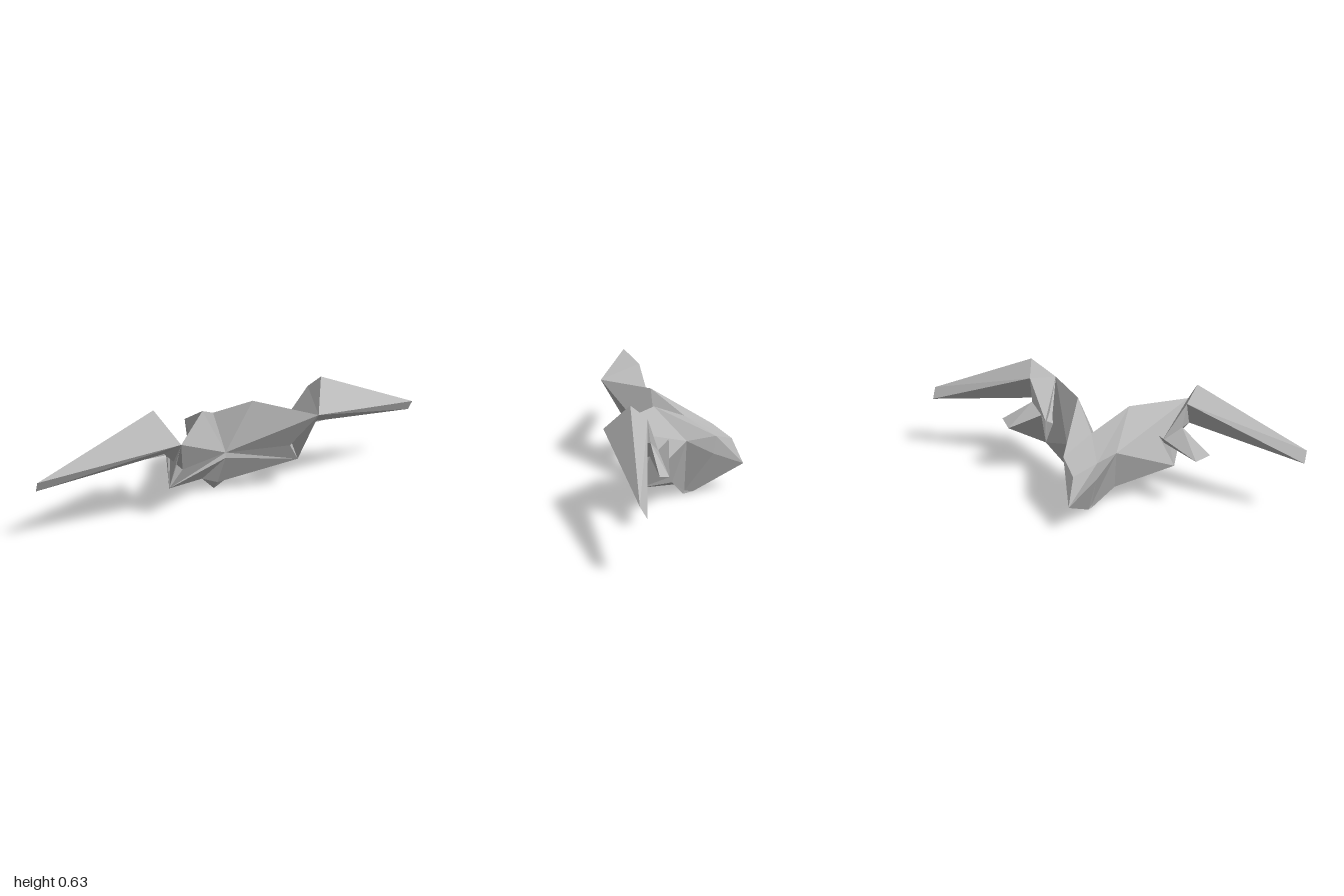
import * as THREE from 'three';

// Corner points of the left half; centre points have x = 0
const P = {
  notch: [0, 0.418, -0.054], noseTop: [0, 0.26, 0.083], noseLow: [0, 0.232, 0.085],
  keelFront: [0, 0.055, -0.006], keelTip: [0, 0.002, -0.047],
  bellyMid: [0, 0.02, -0.054], bellyBack: [0, 0.015, -0.097],
  tailTop: [0, 0.295, -0.288], tailTip: [0, 0.159, -0.348],
  hump: [0.135, 0.518, 0.104], flank: [0.13, 0.335, -0.054],
  rearTop: [0.087, 0.342, -0.2], rearSide: [0.08, 0.247, -0.19],
  cheek: [0.096, 0.107, 0.015], jaw: [0.35, 0.192, 0.183], neck: [0.29, 0.29, 0.207],
  shoulder: [0.36, 0.495, 0.348], wingTop: [0.44, 0.633, 0.226], wingBack: [0.415, 0.559, 0.148],
  wingUnder: [0.4, 0.413, 0.245], tipHigh: [1, 0.387, 0.211], tipLow: [1, 0.331, 0.181],
  finTop: [0.4, 0.437, 0.135], finBack: [0.31, 0.417, 0.045], finDip: [0.31, 0.363, 0.094],
  finRoot: [0.335, 0.344, 0.135], finTip: [0.555, 0.33, 0.102], finTipBack: [0.5, 0.305, 0.055],
};

// Triangles of each part, named by their corners
const PARTS = {
  upperBody: ['hump flank shoulder', 'hump shoulder noseTop', 'hump noseTop notch',
    'hump notch rearTop', 'hump rearTop flank', 'notch tailTop rearTop'],
  tail: ['flank rearTop rearSide', 'rearTop tailTop tailTip', 'rearTop tailTip rearSide',
    'rearSide tailTip bellyBack', 'rearSide bellyBack bellyMid', 'flank rearSide bellyMid'],
  lowerBody: ['shoulder neck noseTop', 'neck jaw noseTop', 'noseTop jaw noseLow',
    'shoulder flank jaw', 'flank cheek jaw', 'flank bellyMid cheek'],
  keel: ['cheek keelTip keelFront', 'cheek bellyMid keelTip', 'bellyMid bellyBack keelTip'],
  wing: ['wingTop shoulder tipHigh', 'shoulder tipLow tipHigh', 'wingTop tipHigh wingBack',
    'wingBack tipHigh tipLow', 'wingBack tipLow wingUnder', 'shoulder wingUnder tipLow', 'wingTop wingBack shoulder'],
  wingRoot: ['shoulder wingBack finDip', 'wingBack finTop finDip', 'wingBack wingUnder finTop',
    'shoulder neck wingUnder', 'wingUnder finRoot finTop', 'wingUnder neck finRoot', 'neck jaw finRoot',
    'finDip jaw shoulder', 'finDip finBack jaw'],
  smallFin: ['finTop finTip finTipBack', 'finTop finTipBack finDip', 'finDip finTipBack finBack',
    'finRoot finTipBack finTip', 'finTop finRoot finTip'],
};

// Panels whose diagonal runs differently on each side
const LEFT_PANELS = ['noseLow jaw keelFront', 'jaw cheek keelFront', 'jaw finTipBack finRoot', 'jaw finBack finTipBack'];
const RIGHT_PANELS = ['noseLow jaw cheek', 'noseLow cheek keelFront', 'jaw finBack finRoot', 'finBack finTipBack finRoot'];

// Build flat triangles, mirrored in x when side is -1
function panels(faces, side) {
  const coords = [];
  for (const face of faces) {
    const corners = face.split(' ');
    if (side < 0) corners.reverse();
    for (const name of corners) {
      const [x, y, z] = P[name];
      coords.push(x * side, y, z);
    }
  }
  const geometry = new THREE.BufferGeometry();
  geometry.setAttribute('position', new THREE.Float32BufferAttribute(coords, 3));
  geometry.computeVertexNormals();
  return geometry;
}

export function createModel() {
  const model = new THREE.Group();
  model.name = 'wingedCraft';
  const grey = new THREE.MeshStandardMaterial({ color: 0xbbbbbb, flatShading: true, side: THREE.DoubleSide });
  grey.name = 'hullGrey';

  for (const side of [1, -1]) {
    const half = new THREE.Group();
    half.name = side > 0 ? 'leftHalf' : 'rightHalf';
    const parts = { ...PARTS, sidePanels: side > 0 ? LEFT_PANELS : RIGHT_PANELS };
    for (const [name, faces] of Object.entries(parts)) {
      const mesh = new THREE.Mesh(panels(faces, side), grey);
      mesh.name = name;
      half.add(mesh);
    }
    model.add(half);
  }
  return model;
}
